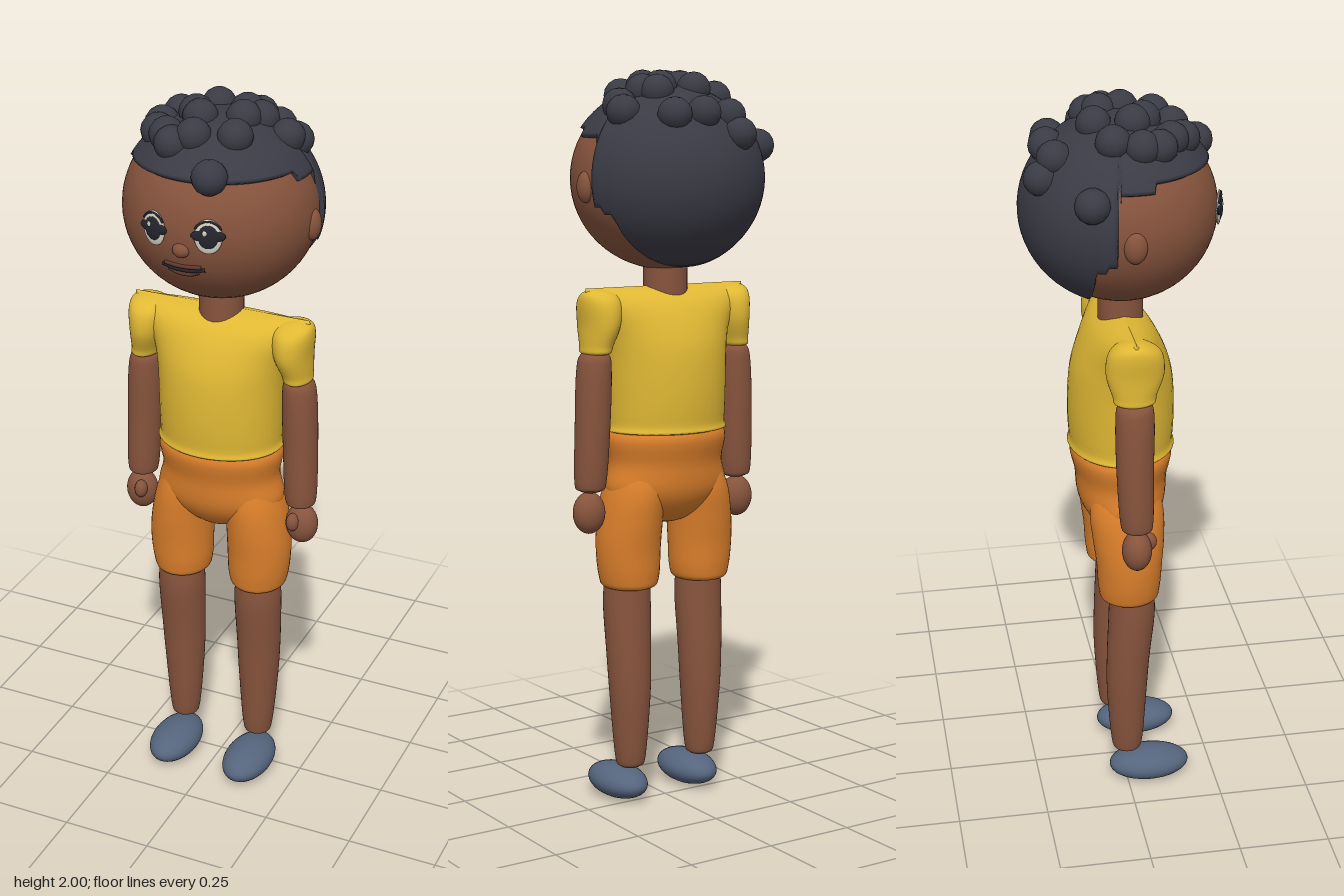
import * as THREE from 'three';

const paint = (name, color) => Object.assign(new THREE.MeshStandardMaterial({ color }), { name });
const skin = paint('skin', 0x87543d);
const hairDark = paint('hair', 0x3b3b46);
const yellow = paint('shirt yellow', 0xe0b834);
const orange = paint('shorts orange', 0xdb7f2b);
const slate = paint('shoe slate', 0x55657d);
const eyeWhite = paint('eye white', 0xd6d2c6);
const eyeDark = paint('eye dark', 0x25262e);
const lip = paint('lip', 0x63382c);

function add(parent, name, geometry, material) {
  const mesh = new THREE.Mesh(geometry, material);
  mesh.name = name;
  parent.add(mesh);
  return mesh;
}

function ball(parent, name, material, pos, radii, detail = 32) {
  const geo = new THREE.SphereGeometry(1, detail, detail / 2).scale(...radii);
  const mesh = add(parent, name, geo, material);
  mesh.position.set(...pos);
  return mesh;
}

// Grid of points closed around its second index
function ringSurface(rows, cols, pointAt) {
  const pos = [], index = [];
  for (let i = 0; i <= rows; i++) {
    for (let j = 0; j < cols; j++) {
      pos.push(...pointAt(i, j));
      if (i === rows) continue;
      const a = i * cols + j, b = i * cols + (j + 1) % cols;
      index.push(a, a + cols, b, b, a + cols, b + cols);
    }
  }
  const geo = new THREE.BufferGeometry();
  geo.setAttribute('position', new THREE.Float32BufferAttribute(pos, 3));
  geo.setIndex(index);
  geo.computeVertexNormals();
  return geo;
}

// Smooth loft through elliptical sections [y, cx, cz, halfWidth, halfDepth], bottom to top
function loft(sections, side = 1) {
  const centres = new THREE.CatmullRomCurve3(
    sections.map(([y, x, z]) => new THREE.Vector3(x * side, y, z)), false, 'catmullrom', 0.5);
  const sizes = new THREE.CatmullRomCurve3(
    sections.map((s) => new THREE.Vector3(s[3], s[4], 0)), false, 'catmullrom', 0.5);
  const rows = (sections.length - 1) * 5, cols = 40;
  return ringSurface(rows, cols, (i, j) => {
    const c = centres.getPoint(i / rows), r = sizes.getPoint(i / rows);
    const a = (j / cols) * Math.PI * 2;
    return [c.x + Math.max(r.x, 0) * Math.cos(a), c.y, c.z + Math.max(r.y, 0) * Math.sin(a)];
  });
}

const HEAD_Y = 1.71;
const HAIR = [0.267, 0.25, 0.265];

// Hair covers the crown, the back of the head and a stepped edge behind the ears
function inHair(y, z) {
  if (z > 0.05) return y > 0.134;
  if (z > -0.04) return y > 0.112;
  if (z > -0.07) return y > -0.07;
  if (z > -0.1) return y > -0.09;
  return true;
}

function hairCap() {
  const rows = 30, cols = 160, ends = [];
  for (let j = 0; j < cols; j++) {
    const az = (j / cols) * Math.PI * 2;
    let t = 0.5;
    while (t < 3 && inHair(HAIR[1] * Math.cos(t), HAIR[2] * Math.sin(t) * Math.cos(az))) t += 0.01;
    ends.push(t);
  }
  // The last row tucks the rim into the head
  return ringSurface(rows, cols, (i, j) => {
    const az = (j / cols) * Math.PI * 2;
    const t = ends[j] * Math.min(i / (rows - 1), 1);
    const k = i === rows ? 0.93 : 1;
    return [k * HAIR[0] * Math.sin(t) * Math.sin(az), k * HAIR[1] * Math.cos(t),
      k * HAIR[2] * Math.sin(t) * Math.cos(az)];
  });
}

// Curl positions seen from above: x, z
const CURLS = [
  [-0.09, -0.215], [-0.08, -0.18], [0.005, -0.19], [0.085, -0.175], [-0.225, -0.107],
  [-0.13, -0.04], [-0.04, -0.075], [-0.15, 0.03], [-0.06, 0.02], [-0.035, 0.05],
  [-0.14, 0.075], [-0.1, 0.11], [-0.07, 0.145], [-0.02, 0.125], [0.08, 0.095],
  [0.065, 0.01], [0.05, -0.05], [0.075, -0.075], [0.095, -0.035], [0.175, -0.07],
  [0.165, -0.035], [0.06, 0.205],
];

function buildHead() {
  const head = new THREE.Group();
  head.name = 'head';
  head.position.y = HEAD_Y;
  ball(head, 'skull', skin, [0, 0, 0], [0.256, 0.243, 0.25], 64);
  add(head, 'hairCap', hairCap(), hairDark);
  for (const [x, z] of CURLS) {
    const h = 1 - (x / HAIR[0]) ** 2 - (z / HAIR[2]) ** 2;
    ball(head, 'curl', hairDark, [x, HAIR[1] * Math.sqrt(Math.max(h, 0)) - 0.003, z],
      [0.046, 0.045, 0.046], 16);
  }
  ball(head, 'nose', skin, [0, -0.04, 0.243], [0.023, 0.02, 0.018], 20);

  for (const side of [1, -1]) {
    ball(head, 'ear', skin, [side * 0.25, -0.02, -0.004], [0.022, 0.042, 0.03], 24);

    // Eye: thin layered ovals tangent to the face
    const eye = new THREE.Group();
    eye.name = side > 0 ? 'leftEye' : 'rightEye';
    eye.position.set(side * 0.073, 0.007, 0.24);
    eye.rotation.y = side * 0.3;
    ball(eye, 'eyeWhite', eyeWhite, [0, 0, 0.002], [0.036, 0.046, 0.007], 24);
    ball(eye, 'lashLine', eyeDark, [0, 0.002, 0.004], [0.044, 0.018, 0.007], 24);
    ball(eye, 'iris', eyeDark, [0, 0, 0.006], [0.026, 0.031, 0.007], 24);
    ball(eye, 'glint', eyeWhite, [-0.008, 0.011, 0.012], [0.006, 0.007, 0.002], 12);
    const brim = add(eye, 'upperLid', new THREE.TorusGeometry(0.036, 0.003, 6, 20, Math.PI * 0.7), eyeDark);
    brim.rotation.z = Math.PI * 0.15;
    brim.position.set(0, 0.004, 0.005);
    head.add(eye);
  }

  // Mouth: lips following the curve of the face
  const mouthCurve = (y, bow, half) => new THREE.CatmullRomCurve3([-1, -0.5, 0, 0.5, 1].map((u) => {
    const x = u * half, h = y + bow * u * u;
    return new THREE.Vector3(x, h, 0.25 * Math.sqrt(1 - (x / 0.256) ** 2 - (h / 0.243) ** 2));
  }));
  const tube = (name, y, bow, half, r, mat) =>
    add(head, name, new THREE.TubeGeometry(mouthCurve(y, bow, half), 20, r, 8), mat);
  tube('upperLip', -0.087, 0.004, 0.05, 0.006, lip);
  tube('mouthLine', -0.098, 0.008, 0.058, 0.006, eyeDark);
  tube('lowerLip', -0.11, 0.012, 0.042, 0.007, lip);
  return head;
}

export function createModel() {
  const model = new THREE.Group();
  model.name = 'figure';
  model.add(buildHead());
  const neck = add(model, 'neck', new THREE.CylinderGeometry(0.06, 0.06, 0.12, 32), skin);
  neck.position.y = 1.45;

  // Shirt body narrows to a wide shoulder ridge
  add(model, 'shirt', loft([
    [1.034, 0, 0, 0, 0], [1.035, 0, 0, 0.162, 0.132], [1.06, 0, 0, 0.17, 0.139],
    [1.15, 0, 0, 0.173, 0.143], [1.25, 0, 0, 0.178, 0.136], [1.32, 0, 0, 0.195, 0.115],
    [1.38, 0, 0, 0.232, 0.082], [1.412, 0, 0, 0.25, 0.042], [1.425, 0, 0, 0.25, 0],
  ]), yellow);

  // Shorts seat
  add(model, 'shortsSeat', loft([
    [0.775, 0, 0, 0, 0], [0.79, 0, 0, 0.06, 0.05], [0.83, 0, 0, 0.14, 0.092],
    [0.88, 0, 0, 0.18, 0.117], [0.95, 0, 0, 0.166, 0.124], [1.038, 0, 0, 0.163, 0.13],
    [1.04, 0, 0, 0, 0],
  ]), orange);

  for (const side of [1, -1]) {
    const limb = new THREE.Group();
    limb.name = side > 0 ? 'leftLimbs' : 'rightLimbs';
    model.add(limb);
    add(limb, 'sleeve', loft([
      [1.25, 0.222, 0, 0, 0], [1.253, 0.222, 0, 0.034, 0.05], [1.275, 0.218, 0, 0.04, 0.058],
      [1.33, 0.208, 0.003, 0.05, 0.076], [1.385, 0.207, 0.003, 0.055, 0.07],
      [1.413, 0.212, 0, 0.042, 0.04], [1.424, 0.22, 0, 0, 0],
    ], side), yellow);
    add(limb, 'arm', loft([
      [0.877, 0.236, 0.005, 0, 0], [0.885, 0.236, 0.005, 0.03, 0.032], [0.91, 0.236, 0.004, 0.043, 0.044],
      [1.06, 0.231, 0, 0.047, 0.049], [1.2, 0.226, 0, 0.046, 0.051],
      [1.25, 0.223, 0, 0.036, 0.042], [1.265, 0.223, 0, 0, 0],
    ], side), skin);
    ball(limb, 'hand', skin, [side * 0.241, 0.825, 0.004], [0.045, 0.057, 0.04]);
    ball(limb, 'thumb', skin, [side * 0.228, 0.842, 0.04], [0.018, 0.026, 0.02], 16);
    add(limb, 'shortsLeg', loft([
      [0.605, 0.115, 0.005, 0, 0], [0.61, 0.115, 0.005, 0.065, 0.07], [0.64, 0.115, 0.005, 0.082, 0.084],
      [0.72, 0.117, 0.005, 0.088, 0.09], [0.8, 0.112, 0.003, 0.086, 0.098],
      [0.88, 0.1, 0, 0.08, 0.1], [0.97, 0.08, 0, 0.06, 0.08],
    ], side), orange);
    add(limb, 'leg', loft([
      [0.098, 0.115, 0, 0, 0], [0.105, 0.115, 0, 0.03, 0.03], [0.135, 0.115, 0, 0.042, 0.044],
      [0.3, 0.116, -0.001, 0.056, 0.056], [0.42, 0.117, 0.003, 0.062, 0.06],
      [0.55, 0.117, 0.012, 0.066, 0.064], [0.62, 0.117, 0.012, 0.064, 0.062],
    ], side), skin);
    ball(limb, 'shoe', slate, [side * 0.116, 0.046, 0.064], [0.068, 0.046, 0.114]);
  }
  return model;
}
